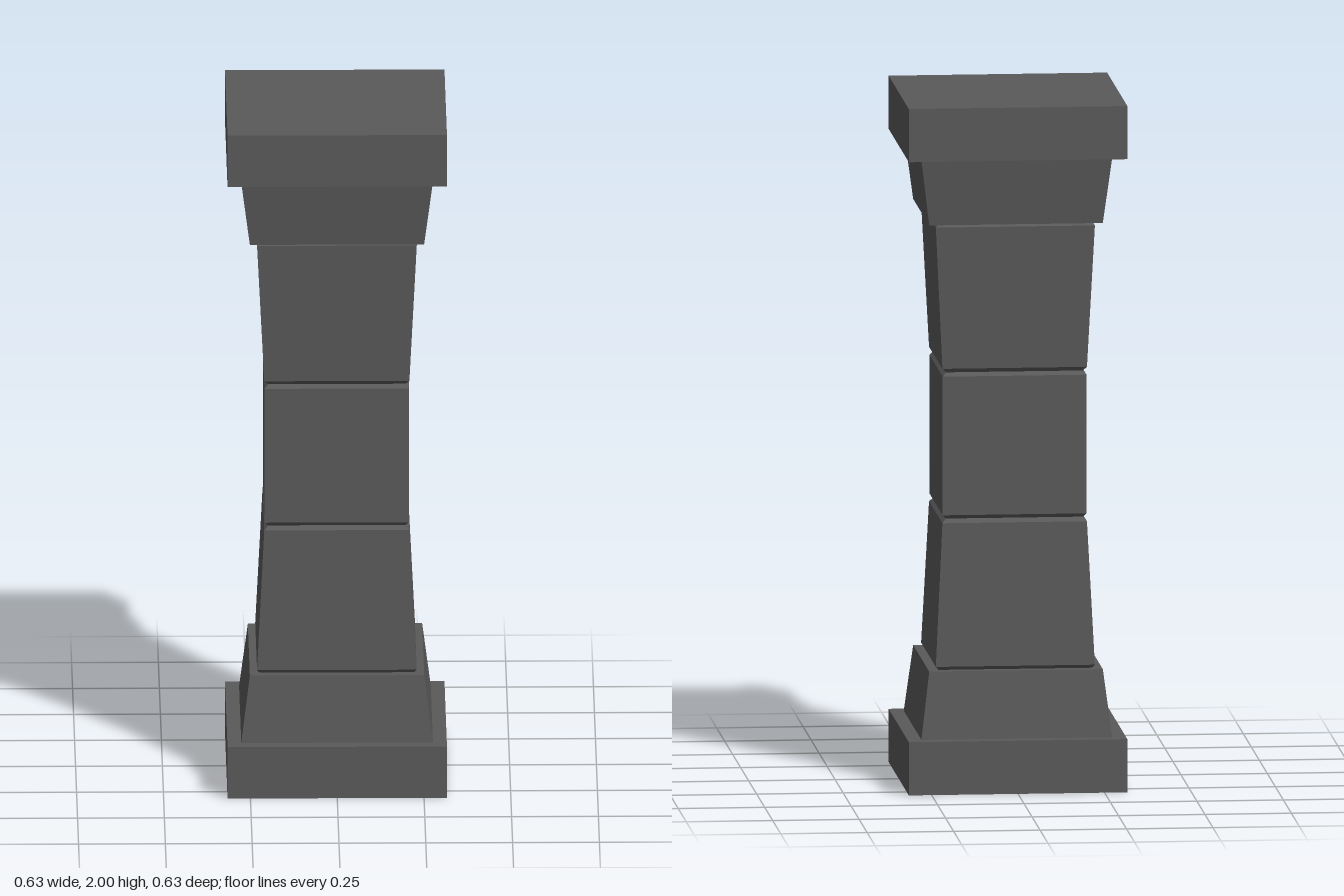
import * as THREE from 'three';

// Square block lofted through [halfWidth, y] sections, closed at both ends
function squareBlock(name, sections, material) {
  const points = [
    [0, sections[0][1]],
    ...sections,
    [0, sections[sections.length - 1][1]],
  ].map(([half, y]) => new THREE.Vector2(half * Math.SQRT2, y));
  const geometry = new THREE.LatheGeometry(points, 4, Math.PI / 4).toNonIndexed();
  geometry.computeVertexNormals();
  const mesh = new THREE.Mesh(geometry, material);
  mesh.name = name;
  return mesh;
}

// Same sections turned upside down about the middle of the pillar
const flip = (sections) => sections.map(([half, y]) => [half, 2 - y]).reverse();

export function createModel() {
  const group = new THREE.Group();
  group.name = 'pillar';
  const stone = new THREE.MeshStandardMaterial({ color: 0x5a5a5a });
  stone.name = 'dark grey stone';

  const slab = [[0.316, 0], [0.316, 0.155]];
  const collar = [[0.276, 0.155], [0.251, 0.35]];
  // Tapered shaft block with chamfered ends
  const taper = [[0.222, 0.35], [0.23, 0.36], [0.209, 0.775], [0.198, 0.787]];
  const middle = [[0.198, 0.787], [0.208, 0.798], [0.208, 1.202], [0.198, 1.213]];

  // Base and lower shaft, mirrored for the capital and upper shaft
  group.add(
    squareBlock('baseSlab', slab, stone),
    squareBlock('baseCollar', collar, stone),
    squareBlock('lowerShaft', taper, stone),
    squareBlock('middleShaft', middle, stone),
    squareBlock('upperShaft', flip(taper), stone),
    squareBlock('capitalCollar', flip(collar), stone),
    squareBlock('capitalSlab', flip(slab), stone),
  );
  return group;
}
